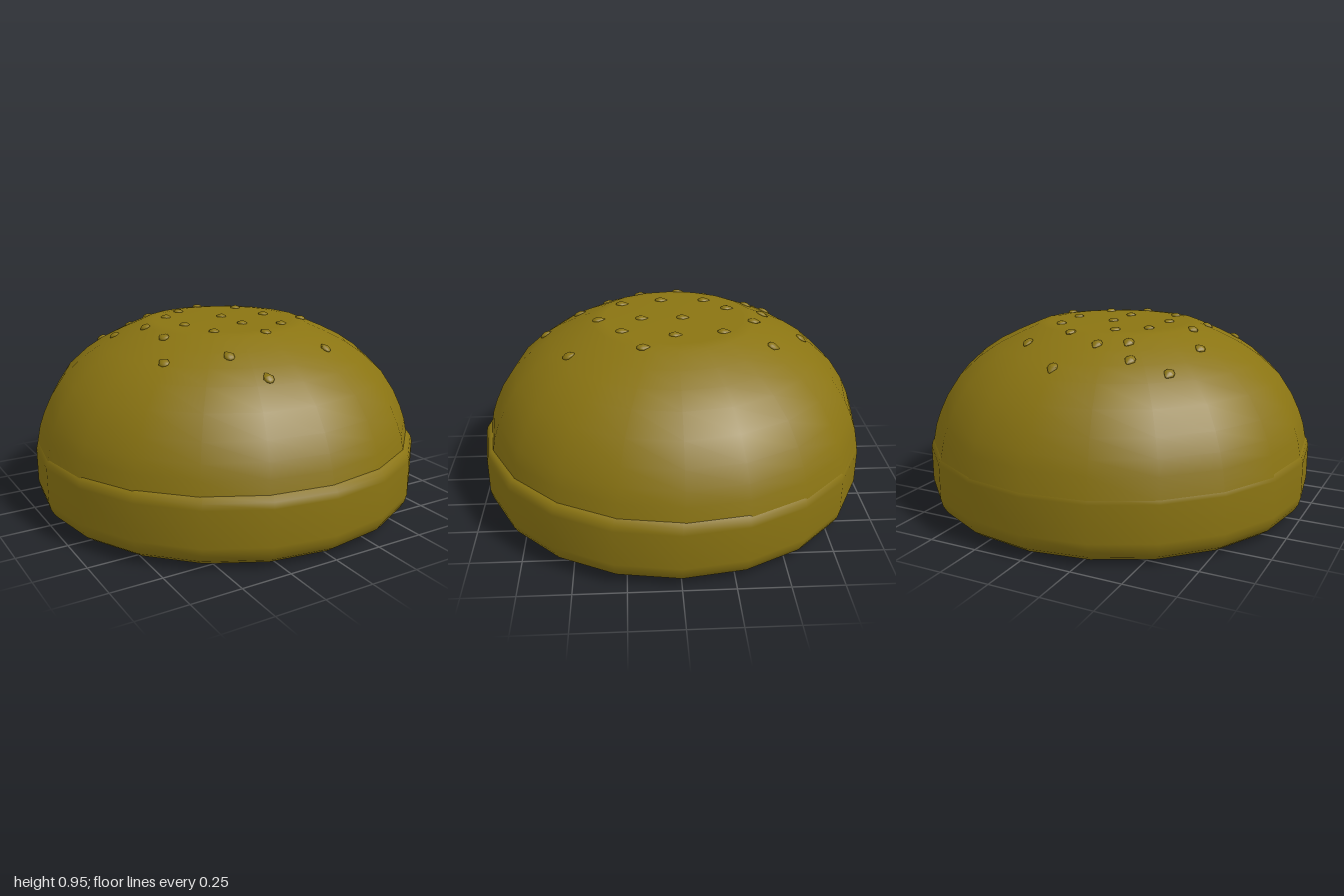
import * as THREE from 'three';

const SIDES = 20;
const bread = new THREE.MeshStandardMaterial({ color: 0x8a7412 });

// Dome profile as [radius, height], from the rim to the flat crown
const DOME = [[0.985, 0.32], [0.965, 0.42], [0.94, 0.49], [0.9, 0.575], [0.83, 0.68],
  [0.73, 0.77], [0.64, 0.83], [0.54, 0.88], [0.42, 0.932], [0.36, 0.94], [0, 0.942]];
const DOME_X = -0.005, DOME_Z = -0.013;

// Seeds as [x, z]
const SEEDS = [[0.01, -0.68], [-0.49, -0.5], [-0.31, -0.53], [-0.25, -0.42], [-0.12, -0.49],
  [0.06, -0.42], [0.26, -0.49], [-0.12, -0.3], [-0.25, -0.19], [-0.53, -0.22], [0.21, -0.25],
  [-0.43, -0.06], [0.01, -0.06], [0.24, -0.01], [-0.26, 0.04], [-0.43, 0.15], [0.01, 0.15],
  [0.37, 0.15], [-0.21, 0.25], [0.18, 0.25], [-0.52, 0.33], [0.01, 0.37], [-0.26, 0.48],
  [0.27, 0.51], [-0.16, 0.66]];

function lathe(name, profile) {
  const points = profile.map(([r, y]) => new THREE.Vector2(r, y));
  const mesh = new THREE.Mesh(new THREE.LatheGeometry(points, SIDES), bread);
  mesh.name = name;
  return mesh;
}

// Height and slope angle of the dome at a given radius
function domeAt(r) {
  let i = 0;
  while (i < DOME.length - 2 && DOME[i + 1][0] > r) i++;
  const [r0, y0] = DOME[i], [r1, y1] = DOME[i + 1];
  const slope = (y1 - y0) / (r0 - r1);
  return { y: y0 + (r0 - r) * slope, tilt: Math.atan(slope) };
}

// Flattened teardrop, pointed towards -z
function seedGeometry() {
  const g = new THREE.SphereGeometry(1, 10, 8);
  const p = g.attributes.position;
  for (let i = 0; i < p.count; i++) {
    const z = p.getZ(i);
    const taper = z < 0 ? 1 + 0.6 * z : 1;
    p.setXYZ(i, p.getX(i) * 0.026 * taper, p.getY(i) * 0.013 * taper, z * 0.034);
  }
  g.computeVertexNormals();
  return g;
}

export function createModel() {
  const group = new THREE.Group();
  group.name = 'bun';

  // Lower half with a rounded base and a soft upper lip
  group.add(lathe('bottomBun', [[0, 0], [0.85, 0], [0.88, 0.002], [0.93, 0.015], [0.97, 0.045],
    [0.99, 0.08], [1, 0.12], [1, 0.3], [0.992, 0.33], [0.975, 0.352], [0.94, 0.36], [0, 0.36]]));

  // Upper dome, set slightly back
  const top = lathe('topBun', DOME);
  top.position.set(DOME_X, 0, DOME_Z);
  group.add(top);

  // Seeds lying on the dome
  const seeds = new THREE.Group();
  seeds.name = 'seeds';
  const geometry = seedGeometry();
  const up = new THREE.Vector3(0, 1, 0);
  for (const [x, z] of SEEDS) {
    const dx = x - DOME_X, dz = z - DOME_Z, r = Math.hypot(dx, dz);
    const { y, tilt } = domeAt(r);
    const seed = new THREE.Mesh(geometry, bread);
    seed.name = 'seed';
    seed.position.set(x, y, z);
    const normal = new THREE.Vector3(dx / r * Math.sin(tilt), Math.cos(tilt), dz / r * Math.sin(tilt));
    seed.quaternion.setFromUnitVectors(up, normal);
    seeds.add(seed);
  }
  group.add(seeds);
  return group;
}
